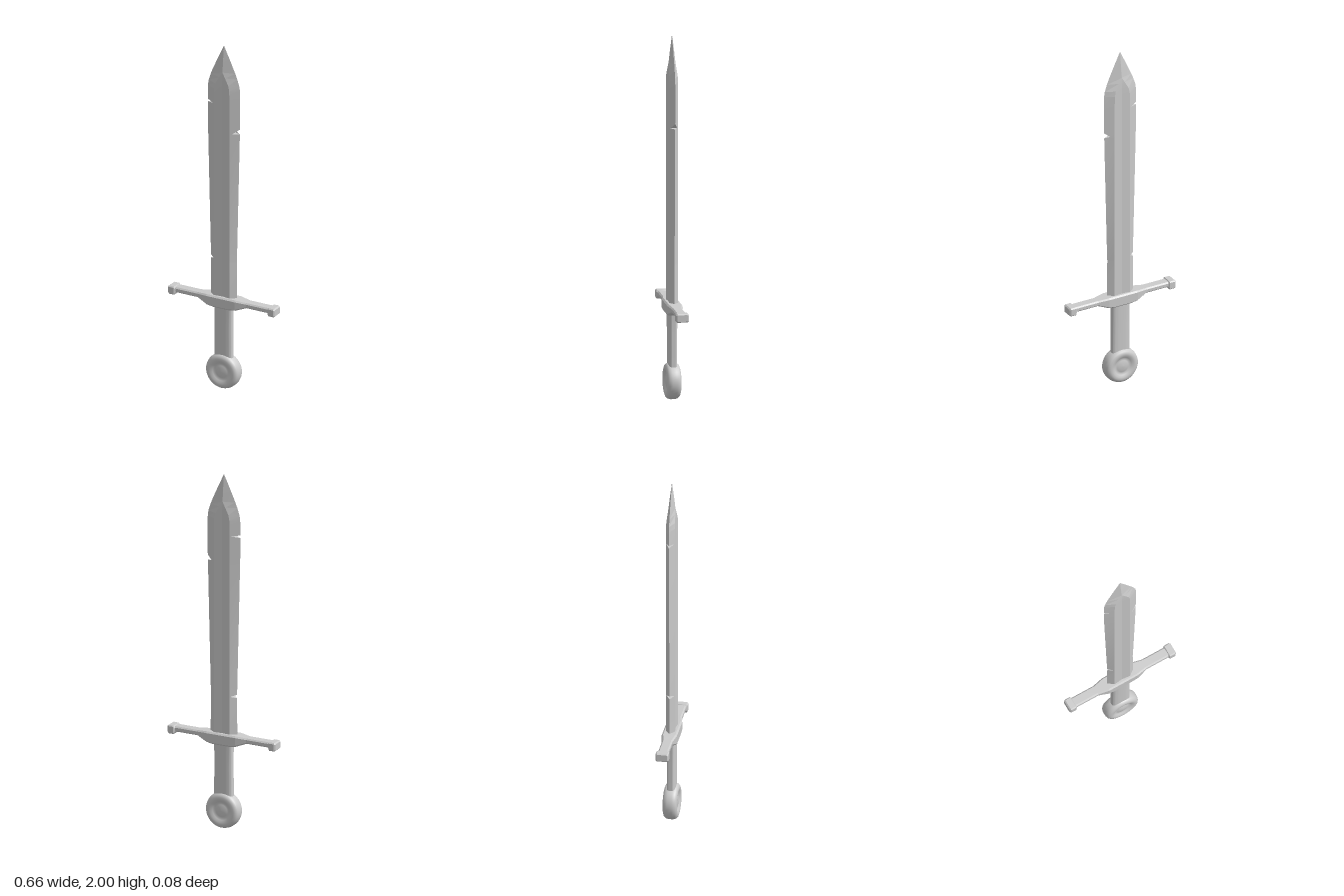
import * as THREE from 'three';
import { toCreasedNormals } from 'three/addons/utils/BufferGeometryUtils.js';

const material = new THREE.MeshStandardMaterial({ color: 0xcccccc });

// Skin a list of equal-length rings (counter-clockwise about the path) and cap both ends
function loft(rings, crease) {
  const pos = [], n = rings[0].length;
  const tri = (a, b, c) => pos.push(...a, ...b, ...c);
  for (let r = 0; r < rings.length - 1; r++) {
    const A = rings[r], B = rings[r + 1];
    for (let i = 0; i < n; i++) {
      const j = (i + 1) % n;
      tri(A[i], A[j], B[j]);
      tri(A[i], B[j], B[i]);
    }
  }
  const first = rings[0], last = rings[rings.length - 1];
  for (let i = 1; i < n - 1; i++) {
    tri(first[0], first[i + 1], first[i]);
    tri(last[0], last[i], last[i + 1]);
  }
  const g = new THREE.BufferGeometry();
  g.setAttribute('position', new THREE.Float32BufferAttribute(pos, 3));
  g.computeVertexNormals();
  return toCreasedNormals(g, crease);
}

function part(name, geometry) {
  const mesh = new THREE.Mesh(geometry, material);
  mesh.name = name;
  return mesh;
}

// Blade section: two ridges with a shallow fuller between, edges may be nicked inward
function bladeRing([y, w, ridgeX, ridgeZ, midZ, nickL = 0, nickR = 0, dropR = 0]) {
  const zAt = (nick) => ridgeZ * nick / Math.max(w - ridgeX, 0.001);
  const xr = w - nickR, xl = -(w - nickL), zr = zAt(nickR), zl = zAt(nickL), yr = y - dropR;
  return [
    [0, y, midZ], [ridgeX, y, ridgeZ], [xr, yr, zr], [xr, yr, -zr], [ridgeX, y, -ridgeZ],
    [0, y, -midZ], [-ridgeX, y, -ridgeZ], [xl, y, -zl], [xl, y, zl], [-ridgeX, y, ridgeZ],
  ];
}

function makeBlade() {
  const R = 0.048, Z = 0.025, M = 0.02;
  const rows = [
    [0.5, 0.081, R, Z, M], [0.58, 0.081, R, Z, M],
    // lower nick
    [0.743, 0.079, R, Z, M], [0.752, 0.079, R, Z, M, 0.029], [0.762, 0.08, R, Z, M],
    [1.0, 0.086, R, Z, M], [1.25, 0.092, R, Z, M],
    // slanted nick
    [1.5, 0.098, R, Z, M], [1.512, 0.098, R, Z, M, 0, 0.038, 0.012], [1.53, 0.099, R, Z, M],
    // upper nick
    [1.654, 0.1, R, Z, M], [1.661, 0.1, R, Z, M, 0.044], [1.669, 0.1, R, Z, M],
    // point
    [1.75, 0.099, 0.046, Z, M], [1.78, 0.095, 0.04, 0.024, M], [1.82, 0.082, 0.018, 0.021, M],
    [1.85, 0.07, 0.001, 0.0185, 0.0185], [1.91, 0.043, 0.0008, 0.012, 0.012],
    [2.0, 0.0005, 0.0002, 0.0003, 0.0003],
  ];
  return loft(rows.map(bladeRing), 0.1);
}

// Bevelled rectangle across the x axis
function barRing([x, y0, y1, z, b]) {
  return [
    [x, y1, -z + b], [x, y1, z - b], [x, y1 - b, z], [x, y0 + b, z],
    [x, y0, z - b], [x, y0, -z + b], [x, y0 + b, -z], [x, y1 - b, -z],
  ];
}

function makeGuard() {
  const half = [
    [0.05, 0.472, 0.538, 0.041, 0.008], [0.088, 0.478, 0.538, 0.041, 0.008],
    [0.15, 0.502, 0.532, 0.028, 0.007], [0.3, 0.502, 0.532, 0.028, 0.007],
  ];
  const mirrored = half.map(([x, ...rest]) => [-x, ...rest]).reverse();
  return loft([...mirrored, ...half].map(barRing), 0.15);
}

function makeGuardEnd() {
  const rows = [
    [0.282, 0.5, 0.526, 0.027, 0.007], [0.291, 0.488, 0.536, 0.035, 0.006],
    [0.322, 0.488, 0.536, 0.035, 0.006], [0.329, 0.494, 0.53, 0.029, 0.005],
  ];
  return loft(rows.map(barRing), 0.5);
}

// Grip: a flat bar with rounded sides
function makeGrip() {
  const ring = (y, w, d) => Array.from({ length: 32 }, (_, i) => {
    const a = i / 32 * Math.PI * 2, s = Math.sin(a), c = Math.cos(a);
    return [w * Math.sign(s) * Math.abs(s) ** 0.6, y, d * Math.sign(c) * Math.abs(c) ** 0.6];
  });
  const rows = [[0.16, 0.055, 0.024], [0.25, 0.055, 0.024], [0.35, 0.054, 0.024], [0.5, 0.055, 0.025]];
  return loft(rows.map((r) => ring(...r)), 0.9);
}

// Pommel: thick wheel with a dished ring and a low boss on both faces
function makePommel() {
  const face = [
    [0, 0.034], [0.02, 0.033], [0.034, 0.029], [0.043, 0.027], [0.052, 0.032],
    [0.064, 0.038], [0.076, 0.039], [0.088, 0.035], [0.096, 0.026], [0.1, 0.012],
  ];
  const profile = [
    ...face.map(([r, h]) => new THREE.Vector2(r, -h)),
    ...face.map(([r, h]) => new THREE.Vector2(r, h)).reverse(),
  ];
  return new THREE.LatheGeometry(profile, 48).rotateX(Math.PI / 2).translate(0, 0.1, 0);
}

export function createModel() {
  const sword = new THREE.Group();
  sword.name = 'sword';
  sword.add(
    part('blade', makeBlade()),
    part('crossguard', makeGuard()),
    part('grip', makeGrip()),
    part('pommel', makePommel()),
  );
  for (const side of ['left', 'right']) {
    const end = part(side + 'GuardEnd', makeGuardEnd());
    if (side === 'right') end.rotation.y = Math.PI;
    sword.add(end);
  }
  return sword;
}
